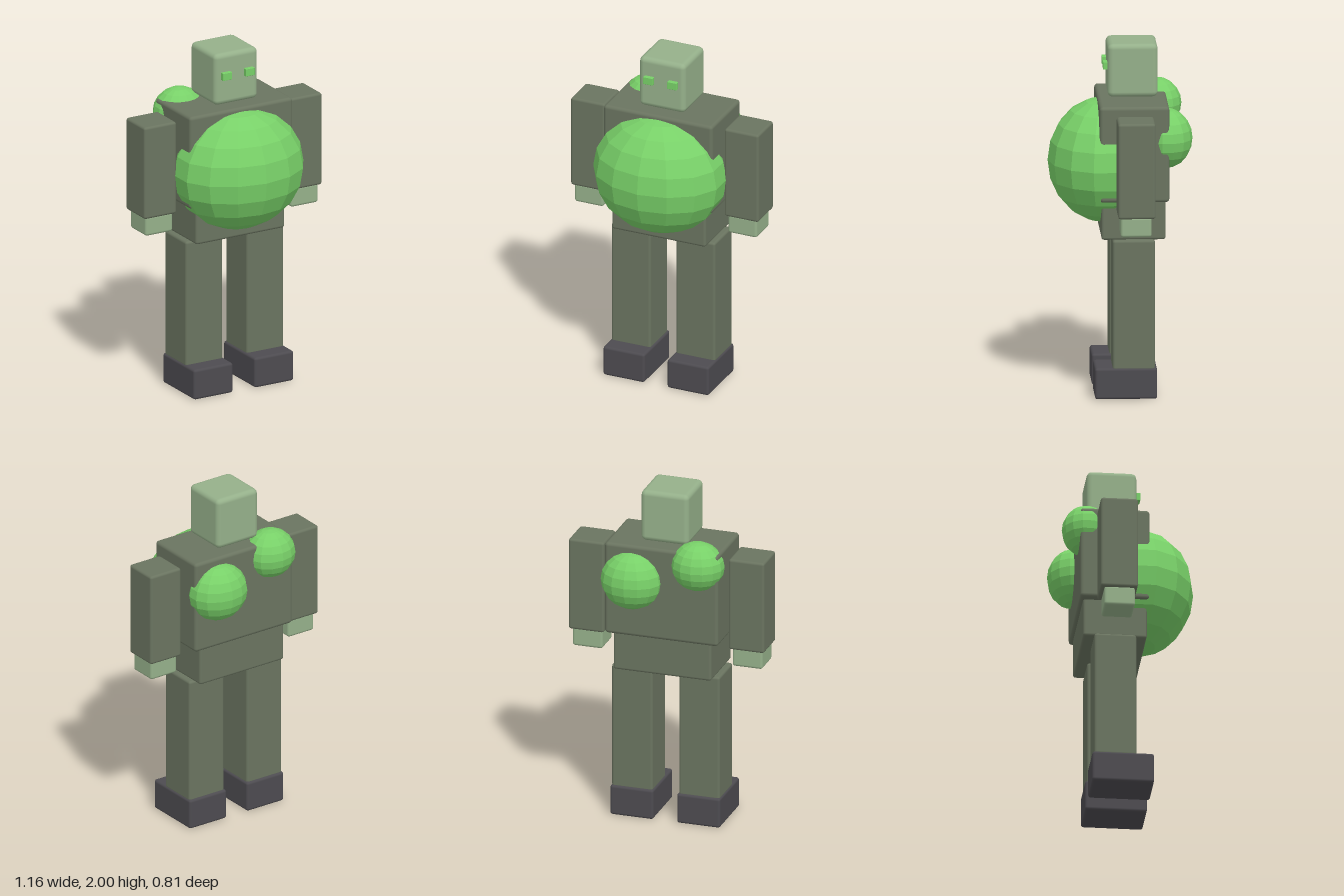
import * as THREE from 'three';
import { RoundedBoxGeometry } from 'three/addons/geometries/RoundedBoxGeometry.js';

const material = (name, color, flatShading = false) => {
  const m = new THREE.MeshStandardMaterial({ color, flatShading });
  m.name = name;
  return m;
};

export function createModel() {
  const cloth = material('olive cloth', 0x6a7460);
  const skin = material('pale green skin', 0x95b08a);
  const boot = material('dark boot', 0x4d4b50);
  const glow = material('bright green', 0x78d068, true);

  const model = new THREE.Group();
  model.name = 'bulkyFigure';

  // Bevelled block given by its lower and upper corners
  function block(name, mat, [x0, y0, z0], [x1, y1, z1], radius = 0.015) {
    const geo = new RoundedBoxGeometry(x1 - x0, y1 - y0, z1 - z0, 2, radius);
    const mesh = new THREE.Mesh(geo, mat);
    mesh.position.set((x0 + x1) / 2, (y0 + y1) / 2, (z0 + z1) / 2);
    mesh.name = name;
    model.add(mesh);
  }

  // Faceted growth with a vertex column facing forward
  function growth(name, center, radii) {
    const geo = new THREE.SphereGeometry(1, 14, 10);
    geo.rotateY(Math.PI / 2);
    geo.scale(...radii);
    const mesh = new THREE.Mesh(geo, glow);
    mesh.position.set(...center);
    mesh.name = name;
    model.add(mesh);
  }

  // Head and body
  block('head', skin, [-0.142, 1.695, -0.212], [0.142, 2, 0.07], 0.03);
  block('torso', cloth, [-0.336, 1.13, -0.268], [0.336, 1.68, 0.124], 0.02);
  block('pelvis', cloth, [-0.29, 0.908, -0.248], [0.29, 1.16, 0.112]);

  // Paired parts
  for (const [side, s] of [['left', 1], ['right', -1]]) {
    const pair = (part, mat, a, b, r) => {
      const xs = [a[0] * s, b[0] * s].sort((p, q) => p - q);
      block(side + part, mat, [xs[0], a[1], a[2]], [xs[1], b[1], b[2]], r);
    };
    pair('Eye', glow, [0.045, 1.848, 0.05], [0.103, 1.892, 0.094], 0.002);
    pair('Arm', cloth, [0.369, 1.087, -0.178], [0.58, 1.635, 0.032]);
    pair('Hand', skin, [0.385, 0.98, -0.157], [0.563, 1.095, 0.017]);
    pair('Leg', cloth, [0.078, 0.165, -0.188], [0.32, 0.912, 0.05]);
    pair('Foot', boot, [0.07, 0, -0.2], [0.326, 0.178, 0.15]);
  }

  // Swollen belly and the two growths on the back
  growth('belly', [0, 1.313, 0.09], [0.39, 0.35, 0.312]);
  growth('rightBackGrowth', [-0.205, 1.592, -0.226], [0.153, 0.143, 0.135]);
  growth('leftBackGrowth', [0.176, 1.47, -0.26], [0.178, 0.168, 0.145]);

  return model;
}
